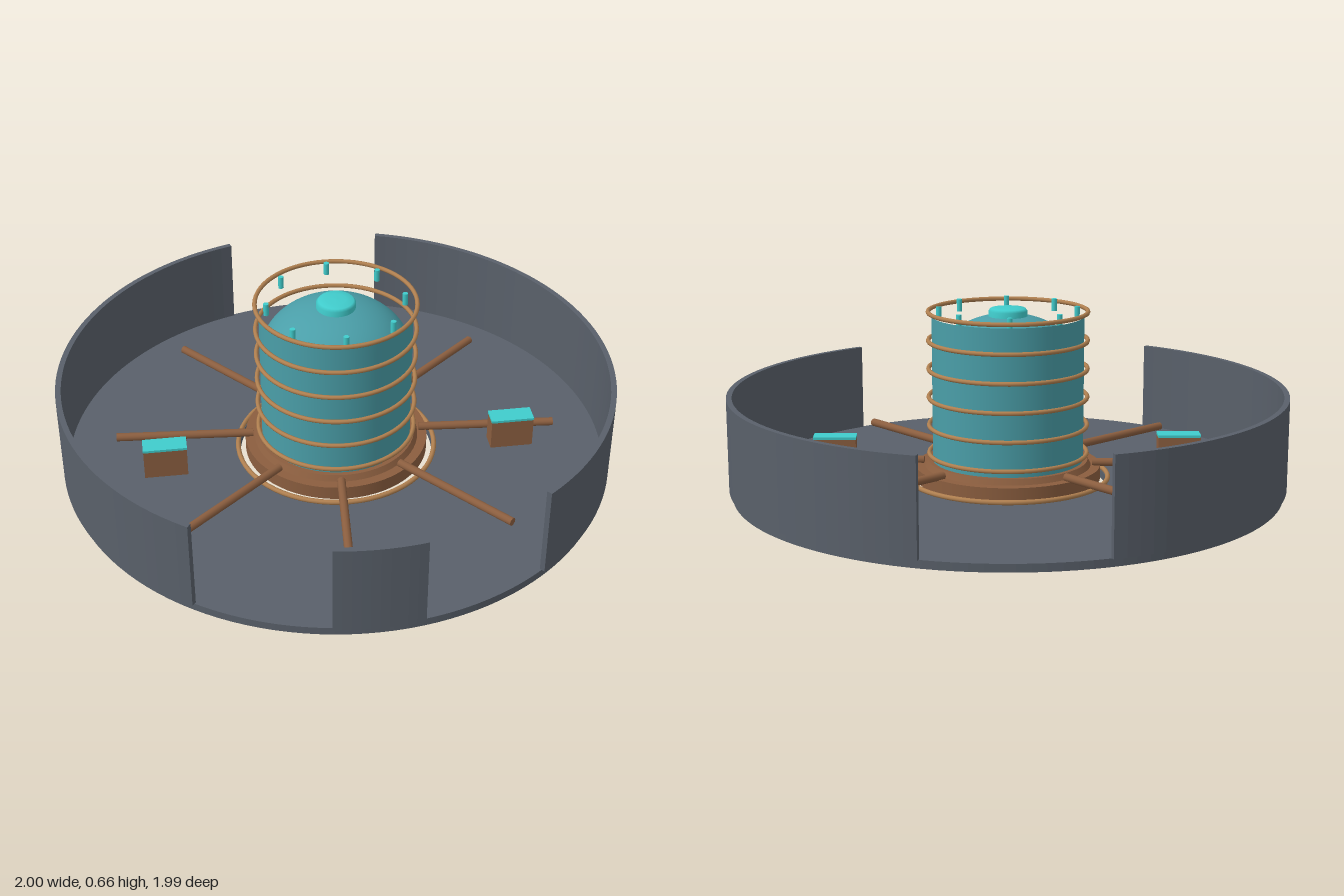
import * as THREE from 'three';

const mat = (name, color) => Object.assign(new THREE.MeshStandardMaterial({ color }), { name });

export function createModel() {
  const slate = mat('slate', 0x59606a);
  const brown = mat('brown', 0x8b5e3f);
  const copper = mat('copper', 0xb08050);
  const teal = mat('teal', 0x4a9ea8);
  const aqua = mat('aqua', 0x40cccc);

  const model = new THREE.Group();
  model.name = 'model';
  const body = new THREE.Group();
  body.name = 'body';
  body.position.z = -0.006;
  model.add(body);

  const add = (name, geometry, material, x = 0, y = 0, z = 0) => {
    const mesh = new THREE.Mesh(geometry, material);
    mesh.name = name;
    mesh.position.set(x, y, z);
    body.add(mesh);
    return mesh;
  };
  const rad = THREE.MathUtils.degToRad;

  // Flat outline raised upwards from the ground plane
  const raise = (shape, depth, curveSegments) =>
    new THREE.ExtrudeGeometry(shape, { depth, curveSegments, bevelEnabled: false }).rotateX(-Math.PI / 2);

  // Floor disc with a round opening
  const floor = new THREE.Shape().absarc(0, 0, 0.988, 0, Math.PI * 2);
  floor.holes.push(new THREE.Path().absarc(0, 0, 0.354, 0, Math.PI * 2, true));
  add('floor', raise(floor, 0.028, 64), slate);

  // Curved outer walls; angles run from the front towards +x
  const walls = [['frontWall', -8.8, 8.8, 5], ['leftWall', 36, 162.5, 24], ['rightWall', -162.5, -36, 24]];
  for (const [name, from, to, segments] of walls) {
    const a = rad(from - 90), b = rad(to - 90);
    const arc = new THREE.Shape();
    arc.absarc(0, 0, 1, a, b, false);
    arc.absarc(0, 0, 0.98, b, a, true);
    add(name, raise(arc, 0.332, segments), slate, 0, 0.028, 0);
  }

  // Ring around the opening and the base plate inside it
  const torus = (r, tube) => new THREE.TorusGeometry(r, tube, 8, 64).rotateX(Math.PI / 2);
  add('openingRing', torus(0.362, 0.009), copper, 0, 0.037, 0);
  add('basePlate', new THREE.CylinderGeometry(0.334, 0.334, 0.05, 64), brown, 0, 0.055, 0);
  add('baseCollar', new THREE.CylinderGeometry(0.288, 0.3, 0.02, 64), brown, 0, 0.09, 0);

  // Drum, open at the top, with a dome inside
  add('drum', new THREE.CylinderGeometry(0.272, 0.272, 0.545, 64, 1, true), teal, 0, 0.3525, 0);
  const dome = new THREE.SphereGeometry(0.271, 64, 16, 0, Math.PI * 2, 0, Math.PI / 2);
  add('dome', dome, teal, 0, 0.43, 0).scale.y = 0.2 / 0.271;

  // Hoops around the drum
  for (let i = 0; i < 6; i++) add('hoop', torus(0.285, 0.008), copper, 0, 0.125 + i * 0.103, 0);

  // Cap on the dome
  const cap = [[0.07, 0.6], [0.07, 0.642], [0.062, 0.651], [0.035, 0.654], [0, 0.655]];
  add('cap', new THREE.LatheGeometry(cap.map(([x, y]) => new THREE.Vector2(x, y)), 32), aqua);

  // Pins around the rim
  for (let i = 0; i < 8; i++) {
    const a = i * Math.PI / 4;
    add('pin', new THREE.CylinderGeometry(0.01, 0.01, 0.045, 10), aqua,
      0.246 * Math.cos(a), 0.634, 0.246 * Math.sin(a));
  }

  // Seven radial rods, none at the back
  for (let i = 0; i < 7; i++) {
    const a = rad(-40.4 + i * 45);
    const rod = new THREE.CylinderGeometry(0.015, 0.015, 0.5, 12).rotateZ(Math.PI / 2);
    add('rod', rod, brown, 0.555 * Math.cos(a), 0.09, 0.555 * Math.sin(a)).rotation.y = -a;
  }

  // Side boxes with bright lids
  for (const side of [-1, 1]) {
    add('box', new THREE.BoxGeometry(0.155, 0.11, 0.068), brown, side * 0.633, 0.1, 0.1);
    add('boxLid', new THREE.BoxGeometry(0.157, 0.009, 0.07), aqua, side * 0.633, 0.1595, 0.1);
  }

  return model;
}
